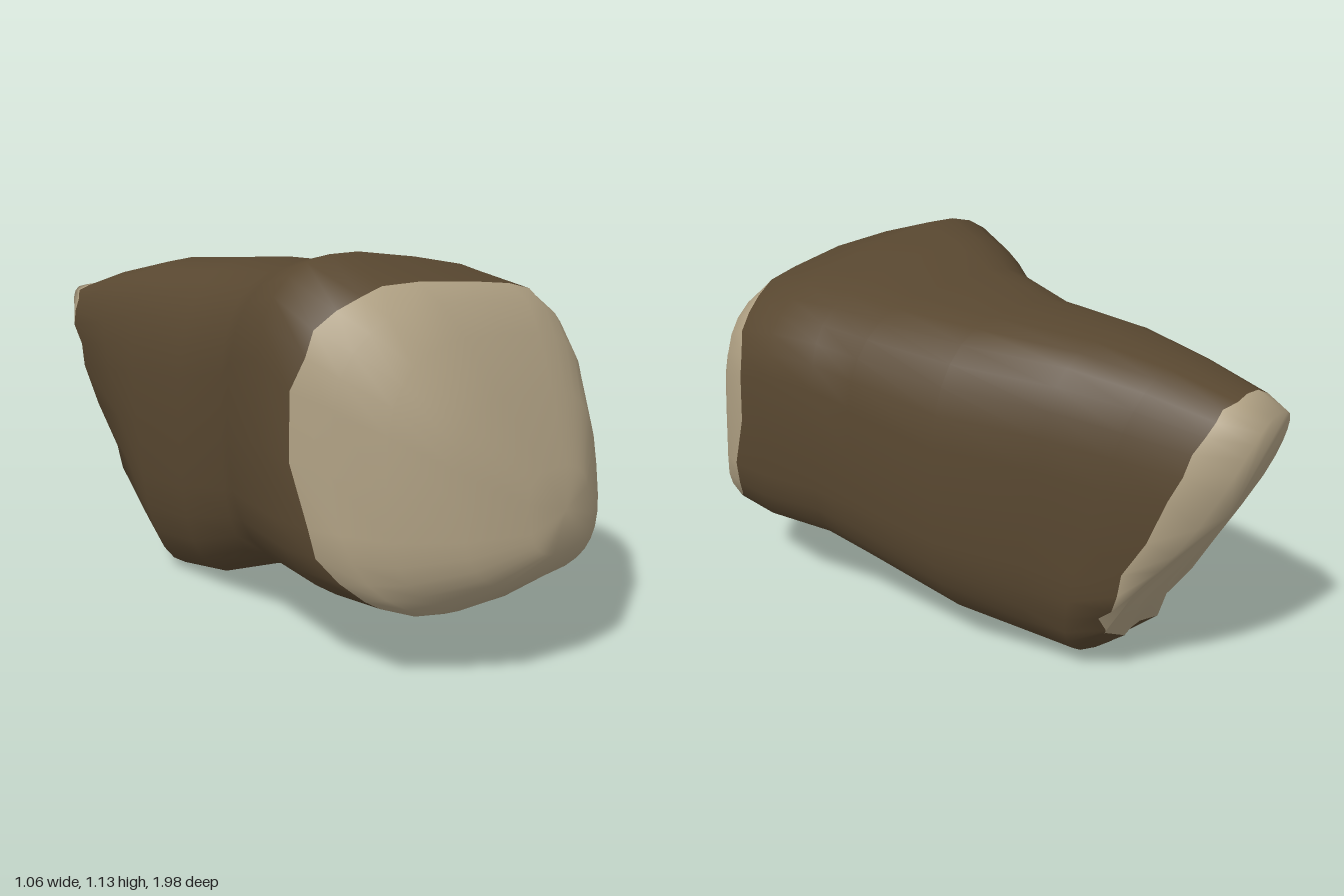
import * as THREE from 'three';

const { smoothstep } = THREE.MathUtils;
const SIDES = 32;

// Cross-sections from front to back, each leaning between a top and a bottom point:
// [zTop, yTop, zBottom, yBottom, xMin, xMax, side bow in z]
const RINGS = [
  [0.95, 0.6, 0.99, 0.38, -0.1, 0.17, 0],
  [0.87, 0.79, 0.94, 0.3, -0.29, 0.31, -0.01],
  [0.79, 0.94, 0.84, 0.23, -0.42, 0.43, -0.05],
  [0.73, 1.02, 0.82, 0.21, -0.49, 0.51, -0.14],
  [0.67, 1.07, 0.79, 0.2, -0.53, 0.53, -0.2],
  [0.47, 1.12, 0.6, 0.2, -0.53, 0.53, -0.13],
  [0.3, 1.1, 0.32, 0.21, -0.48, 0.49, -0.09],
  [0.1, 1.07, 0.12, 0.16, -0.41, 0.45, 0],
  [-0.2, 1.06, -0.18, 0.06, -0.33, 0.4, 0],
  [-0.5, 1.04, -0.4, 0.03, -0.3, 0.28, 0],
  [-0.7, 0.99, -0.51, 0.04, -0.26, 0.2, 0],
  [-0.88, 0.93, -0.6, 0.13, -0.23, 0.13, -0.02],
  [-0.99, 0.91, -0.66, 0.27, -0.14, 0.06, -0.05],
];
const LAST = RINGS.length - 1;
const FRONT_EDGE = 4; // ring where the front cut meets the bark
const BACK_EDGE = 11; // ring where the bark meets the rear cut

function ringPoint(r, i) {
  const [zTop, yTop, zBottom, yBottom, xMin, xMax, bow] = RINGS[r];
  const z = (zTop + zBottom) / 2;
  // The thick end is squarer with a sloping top; the thin end has a skewed, sloping underside
  const thick = Math.max(0, 1 - Math.abs(z - 0.5) / 0.6);
  const squareness = 2.9 + 0.8 * thick;
  const underSlope = 0.24 * smoothstep(-z, -0.2, 0.35);
  const shear = -0.07 * smoothstep(-z, 0.35, 0.75);

  const angle = (i / SIDES) * Math.PI * 2;
  const round = (t) => Math.sign(t) * Math.pow(Math.abs(t), 2 / squareness);
  const u = round(Math.cos(angle));
  const v = round(Math.sin(angle));
  const k = (v + 1) / 2;
  const half = (xMax - xMin) / 2;
  const slope = v > 0 ? -0.17 * thick * v : -underSlope * v;
  // Ragged line where the bark stops
  const ragged = r === FRONT_EDGE || r === BACK_EDGE ? 0.012 * Math.sin(i * 2.3) + 0.008 * Math.sin(i * 4.1) : 0;
  return [
    (xMin + xMax) / 2 + u * half + shear * v,
    yBottom + (yTop - yBottom) * k + slope * u * half,
    zBottom + (zTop - zBottom) * k + bow * u * u * (1 - 0.5 * v * v) + ragged,
  ];
}

function logGeometry() {
  const positions = [];
  for (let r = 0; r <= LAST; r++) {
    for (let i = 0; i < SIDES; i++) positions.push(...ringPoint(r, i));
  }
  const frontTip = positions.length / 3;
  const backTip = frontTip + 1;
  positions.push(0.04, 0.49, 0.985, -0.05, 0.6, -0.9);

  const geometry = new THREE.BufferGeometry();
  const index = [];
  const at = (r, i) => r * SIDES + (i % SIDES);
  let start = 0;
  const closeGroup = (material) => {
    geometry.addGroup(start, index.length - start, material);
    start = index.length;
  };

  // Front cut, bark and rear cut share one continuous smooth skin
  for (let i = 0; i < SIDES; i++) index.push(frontTip, at(0, i), at(0, i + 1));
  for (let r = 0; r < LAST; r++) {
    if (r === FRONT_EDGE) closeGroup(0);
    if (r === BACK_EDGE) closeGroup(1);
    for (let i = 0; i < SIDES; i++) {
      const a = at(r, i), b = at(r, i + 1), c = at(r + 1, i + 1), d = at(r + 1, i);
      index.push(a, d, b, b, d, c);
    }
  }
  for (let i = 0; i < SIDES; i++) index.push(backTip, at(LAST, i + 1), at(LAST, i));
  closeGroup(0);

  geometry.setAttribute('position', new THREE.Float32BufferAttribute(positions, 3));
  geometry.setIndex(index);
  geometry.computeVertexNormals();
  return geometry;
}

export function createModel() {
  const cutWood = new THREE.MeshStandardMaterial({ color: 0xae9f82 });
  cutWood.name = 'cut wood';
  const bark = new THREE.MeshStandardMaterial({ color: 0x584730 });
  bark.name = 'bark';

  const log = new THREE.Mesh(logGeometry(), [cutWood, bark]);
  log.name = 'log';

  const model = new THREE.Group();
  model.name = 'wood chunk';
  model.add(log);
  return model;
}
